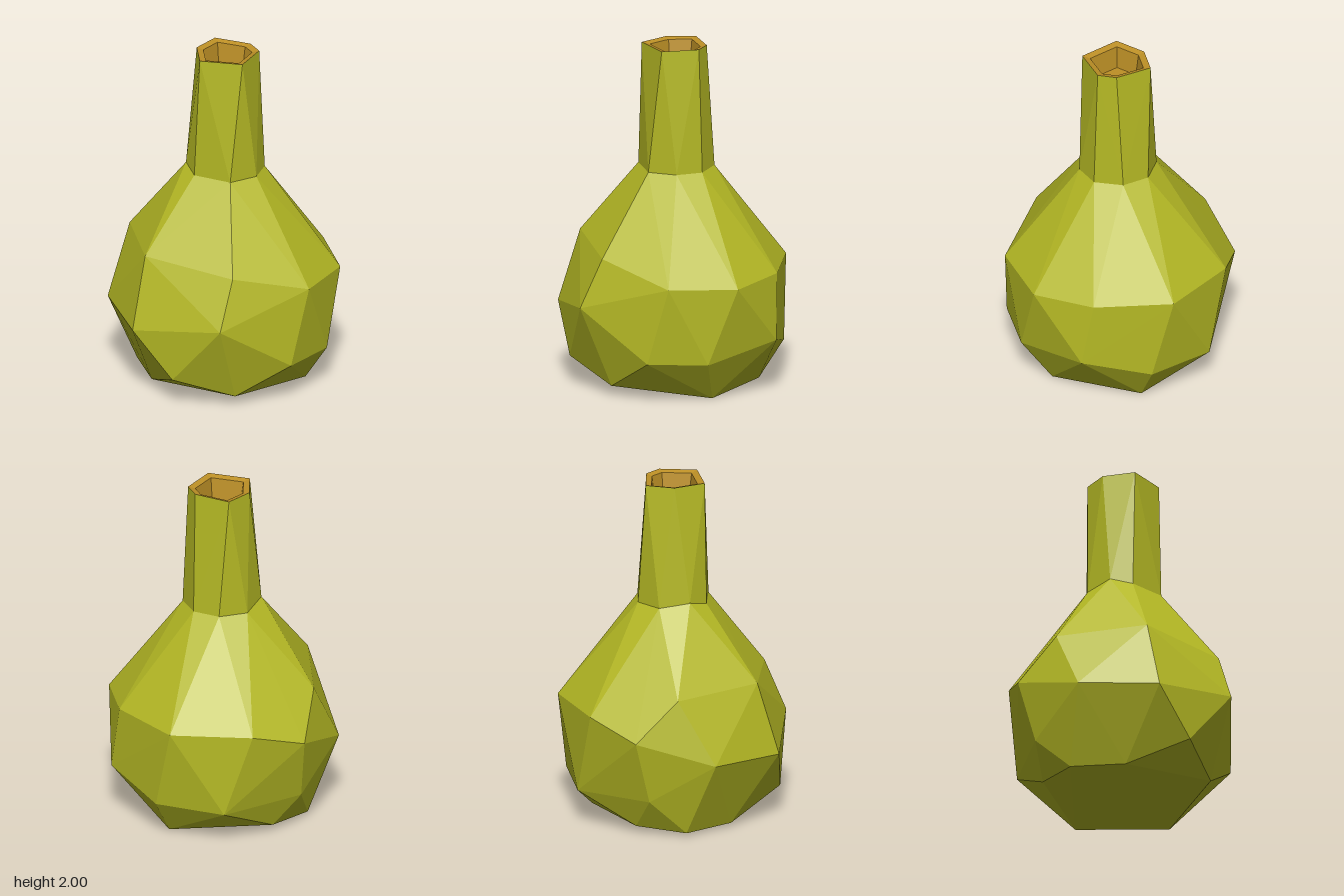
import * as THREE from 'three';
import { ConvexGeometry } from 'three/addons/geometries/ConvexGeometry.js';

const V = (p) => new THREE.Vector3(...p);

// Faceted shell around a few points, without its flat end caps
function shell(points, openBottom) {
  const hull = new ConvexGeometry(points.map(V));
  const pos = hull.getAttribute('position');
  const out = [];
  const tri = new THREE.Triangle();
  const n = new THREE.Vector3();
  for (let i = 0; i < pos.count; i += 3) {
    tri.setFromAttributeAndIndices(pos, i, i + 1, i + 2);
    tri.getNormal(n);
    if (n.y > 0.9 || (openBottom && n.y < -0.9)) continue;
    out.push(tri.a.clone(), tri.b.clone(), tri.c.clone());
  }
  return finish(out);
}

function finish(vectors) {
  const g = new THREE.BufferGeometry().setFromPoints(vectors);
  g.computeVertexNormals();
  return g;
}

// Band of quads from an outer/upper loop to an inner/lower loop
function band(a, b) {
  const out = [];
  a.forEach((p, i) => {
    const j = (i + 1) % a.length;
    out.push(p, a[j], b[i], a[j], b[j], b[i]);
  });
  return finish(out);
}

export function createModel() {
  const group = new THREE.Group();
  const glass = new THREE.MeshStandardMaterial({ color: 0xb4b824, flatShading: true });
  glass.name = 'olive green';
  const cork = new THREE.MeshStandardMaterial({ color: 0xbd9026, flatShading: true, side: THREE.DoubleSide });
  cork.name = 'amber';
  const add = (name, geometry, material) => {
    const m = new THREE.Mesh(geometry, material);
    m.name = name;
    group.add(m);
  };

  // Irregular loops of the flask
  const neckBase = [
    [-0.22, 1.28, 0.08], [-0.05, 1.275, 0.23], [0.12, 1.275, 0.19], [0.21, 1.275, 0.06],
    [0.18, 1.28, -0.11], [0.05, 1.28, -0.21], [-0.12, 1.28, -0.19], [-0.23, 1.31, -0.05],
  ];
  const lip = [
    [-0.19, 2, 0.09], [0.03, 2, 0.21], [0.18, 2, 0.05],
    [0.16, 2, -0.06], [-0.01, 2, -0.2], [-0.15, 2, -0.1],
  ];
  const upper = [
    [-0.14, 0.82, 0.57], [0.32, 0.7, 0.57], [0.6, 0.68, 0.27], [0.615, 0.7, -0.11],
    [0.4, 0.7, -0.52], [-0.06, 0.7, -0.65], [-0.48, 0.84, -0.34], [-0.55, 0.86, 0.19],
  ];
  const lower = [
    [-0.24, 0.53, 0.65], [0.2, 0.25, 0.61], [0.48, 0.24, 0.4], [0.65, 0.32, -0.05],
    [0.46, 0.22, -0.41], [0.1, 0.21, -0.615], [-0.38, 0.23, -0.47], [-0.38, 0.6, -0.57],
    [-0.655, 0.46, -0.2], [-0.65, 0.44, 0.27], [-0.46, 0.17, 0.43],
  ];
  const foot = [
    [-0.11, 0.06, 0.52], [0.4, 0, 0.24], [0.36, 0, -0.3],
    [-0.22, 0.04, -0.44], [-0.46, 0.02, -0.26], [-0.47, 0.02, 0.06],
  ];

  add('body', shell([...neckBase, ...upper, ...lower, ...foot], false), glass);
  add('neck', shell([...neckBase, ...lip], true), glass);

  // Mouth: flat rim, short inner wall and recessed floor
  const loop = (s, y) => lip.map(([x, , z]) => new THREE.Vector3(x * s, y, z * s));
  const edge = loop(1, 2), inner = loop(0.78, 1.99), low = loop(0.68, 1.86);
  add('rim', band(edge, inner), cork);
  add('mouthWall', band(inner, low), cork);
  const floor = [];
  for (let i = 1; i < low.length - 1; i++) floor.push(low[0], low[i], low[i + 1]);
  add('mouthFloor', finish(floor), cork);

  return group;
}
